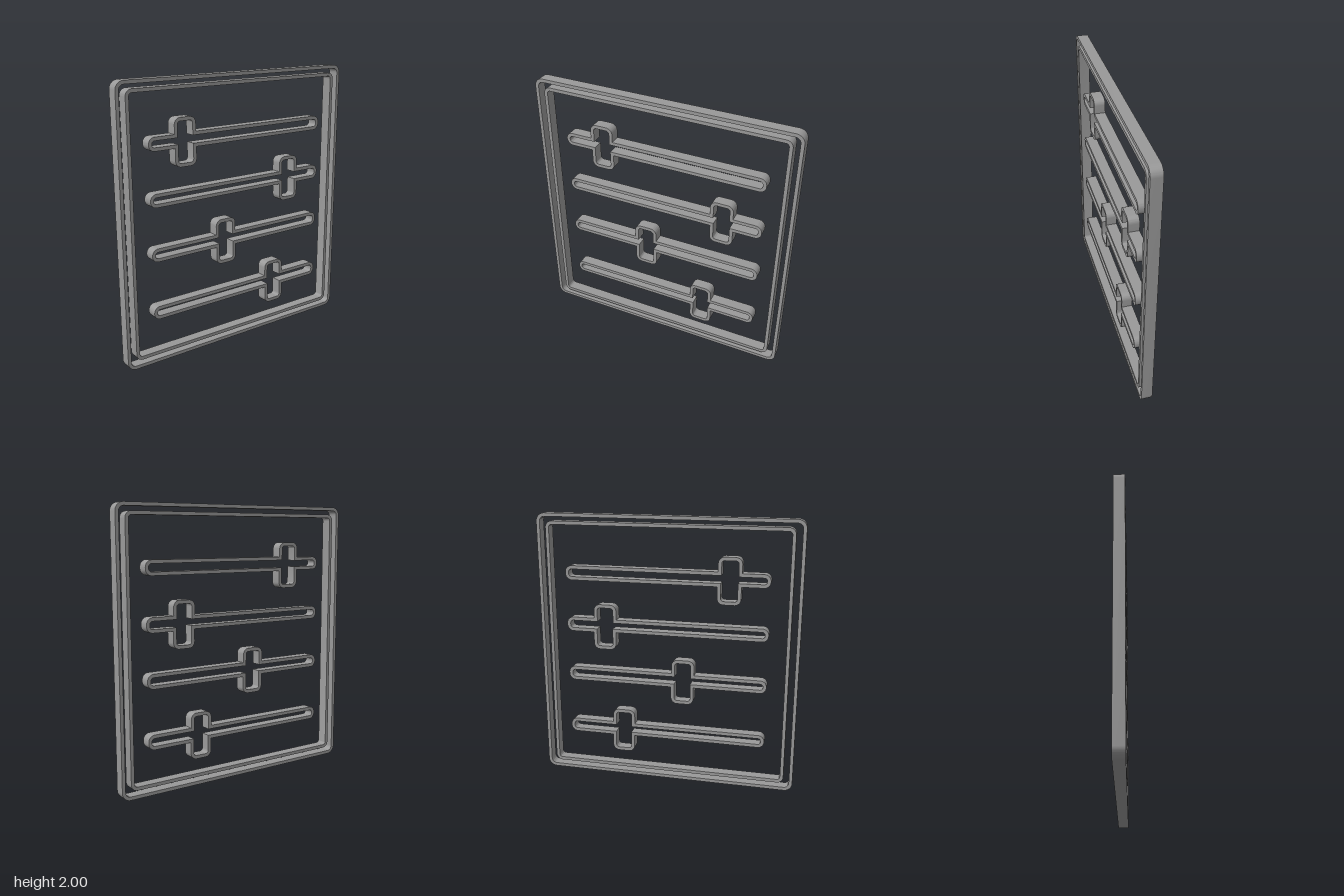
import * as THREE from 'three';
import { toCreasedNormals } from 'three/addons/utils/BufferGeometryUtils.js';

const DEPTH = 0.08, WALL = 0.025;
const material = new THREE.MeshStandardMaterial({ color: 0x999999 });

// Closed counter-clockwise path of [x, y, radius]; radius 0 stays sharp
function trace(path, points) {
  const n = points.length;
  points.forEach(([x, y, r], k) => {
    const p = new THREE.Vector2(x, y);
    const before = points[(k + n - 1) % n], after = points[(k + 1) % n];
    const dirIn = new THREE.Vector2(x - before[0], y - before[1]).normalize();
    const dirOut = new THREE.Vector2(after[0] - x, after[1] - y).normalize();
    const start = p.clone().addScaledVector(dirIn, -r);
    if (k === 0) path.moveTo(start.x, start.y);
    else path.lineTo(start.x, start.y);
    if (r > 0) {
      const c = start.clone().addScaledVector(dirOut, r);
      const a = Math.atan2(start.y - c.y, start.x - c.x);
      path.absarc(c.x, c.y, r, a, a + Math.PI / 2, false);
    }
  });
  path.closePath();
  return path;
}

// Upright wall between an outline and the same outline inset by WALL
function wall(name, outline) {
  const shape = trace(new THREE.Shape(), outline(0));
  shape.holes.push(trace(new THREE.Path(), outline(WALL)));
  const geometry = new THREE.ExtrudeGeometry(shape, { depth: DEPTH, bevelEnabled: false, curveSegments: 8 });
  geometry.translate(0, 0, -DEPTH / 2);
  const mesh = new THREE.Mesh(toCreasedNormals(geometry, 0.6), material);
  mesh.name = name;
  return mesh;
}

// Rounded rectangular frame
const frame = (halfWidth, bottom, top, radius) => (i) => {
  const x = halfWidth - i, r = radius - i;
  return [[-x, bottom + i, r], [x, bottom + i, r], [x, top - i, r], [-x, top - i, r]];
};

// Slot crossed by a knob; the slot is a little taller right of the knob
const slider = (knobX, y) => (i) => {
  const left = -0.741 + i, right = 0.755 - i;
  const hl = 0.048 - i, hr = 0.053 - i;
  const w = 0.085 - i, shift = 0.002;
  const top = y + 0.158 - i, bottom = y - 0.181 + i;
  const endL = 0.046 - i, endR = 0.048 - i, r = 0.046 - i;
  const x0 = knobX - w, x1 = knobX + w;
  return [
    [left, y - hl, endL], [x0 + shift, y - hl, 0],
    [x0 + shift, bottom, r], [x1 + shift, bottom, r],
    [x1 + shift, y - hr, 0], [right, y - hr, endR],
    [right, y + hr, endR], [x1 - shift, y + hr, 0],
    [x1 - shift, top, r], [x0 - shift, top, r],
    [x0 - shift, y + hl, 0], [left, y + hl, endL],
  ];
};

export function createModel() {
  const group = new THREE.Group();
  group.name = 'sliderPanel';

  // Two nested border frames
  group.add(wall('outerFrame', frame(0.962, 0, 2, 0.062)));
  group.add(wall('innerFrame', frame(0.894, 0.059, 1.944, 0.048)));

  // Four slider outlines, top to bottom: [knob x, slot centre y]
  [[-0.455, 1.573], [0.462, 1.188], [-0.124, 0.802], [0.331, 0.376]].forEach(([x, y], k) => {
    group.add(wall('slider' + (k + 1), slider(x, y)));
  });
  return group;
}
